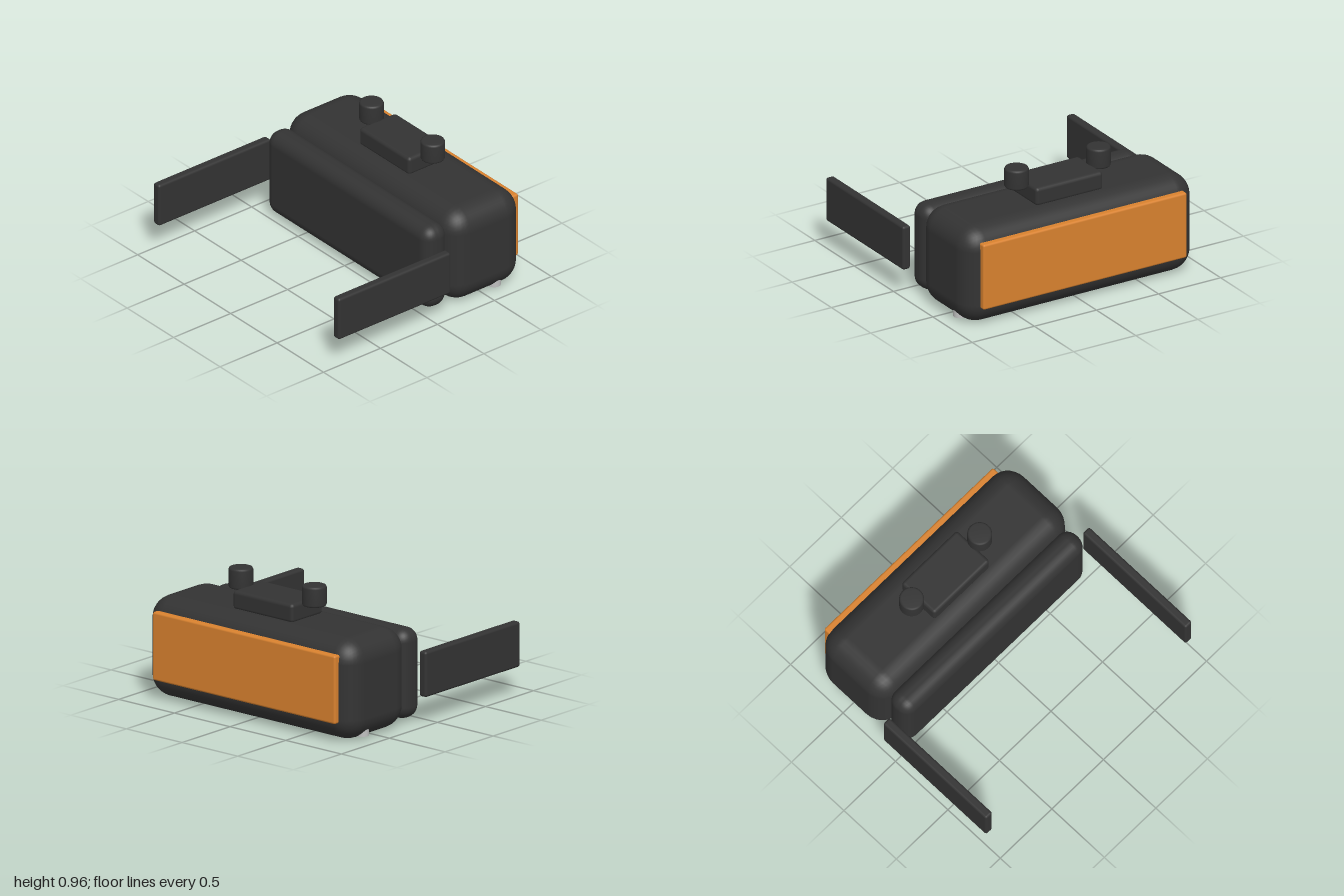
import * as THREE from 'three';
import { RoundedBoxGeometry } from 'three/addons/geometries/RoundedBoxGeometry.js';

const material = (name, color) => {
  const m = new THREE.MeshStandardMaterial({ color });
  m.name = name;
  return m;
};

export function createModel() {
  const group = new THREE.Group();
  group.name = 'goggles';
  const dark = material('charcoal', 0x333333);
  const orange = material('orange lens', 0xd9822f);
  const silver = material('silver', 0xc0c0c0);

  const add = (name, geometry, mat, x, y, z) => {
    const mesh = new THREE.Mesh(geometry, mat);
    mesh.name = name;
    mesh.position.set(x, y, z);
    group.add(mesh);
  };

  // Rounded box given by its limits in x and y, and its centre and depth in z
  const box = (name, mat, [x0, x1], [y0, y1], z, depth, radius, segments = 4) =>
    add(name, new RoundedBoxGeometry(x1 - x0, y1 - y0, depth, segments, radius),
      mat, (x0 + x1) / 2, (y0 + y1) / 2, z);

  // Housing, face cushion and lens
  box('housing', dark, [0.19, 0.83], [0, 0.715], 0, 1.86, 0.16);
  box('faceCushion', dark, [0.01, 0.21], [0.02, 0.66], 0, 1.755, 0.09);
  box('lens', orange, [0.8, 0.86], [0.14, 0.625], 0, 1.64, 0.015, 2);

  // Raised mount on top
  box('topMount', dark, [0.345, 0.665], [0.705, 0.84], 0, 0.54, 0.025, 2);

  // Knob outline with softened rims
  const knobProfile = [
    [0, 0], [0.07, 0], [0.08, 0.004], [0.085, 0.015],
    [0.085, 0.13], [0.08, 0.141], [0.07, 0.145], [0, 0.145],
  ].map(([r, y]) => new THREE.Vector2(r, y));

  // Parts mirrored on both ends
  for (const side of [1, -1]) {
    const label = side > 0 ? 'front' : 'back';
    box(label + 'Strap', dark, [-0.865, 0.12], [0.2, 0.523], side * 0.968, 0.064, 0.018, 2);
    add(label + 'Knob', new THREE.LatheGeometry(knobProfile, 32), dark, 0.505, 0.815, side * 0.33);
    add(label + 'Stud', new THREE.CylinderGeometry(0.045, 0.045, 0.08, 24), silver, 0.615, 0.06, side * 0.857);
  }
  return group;
}
